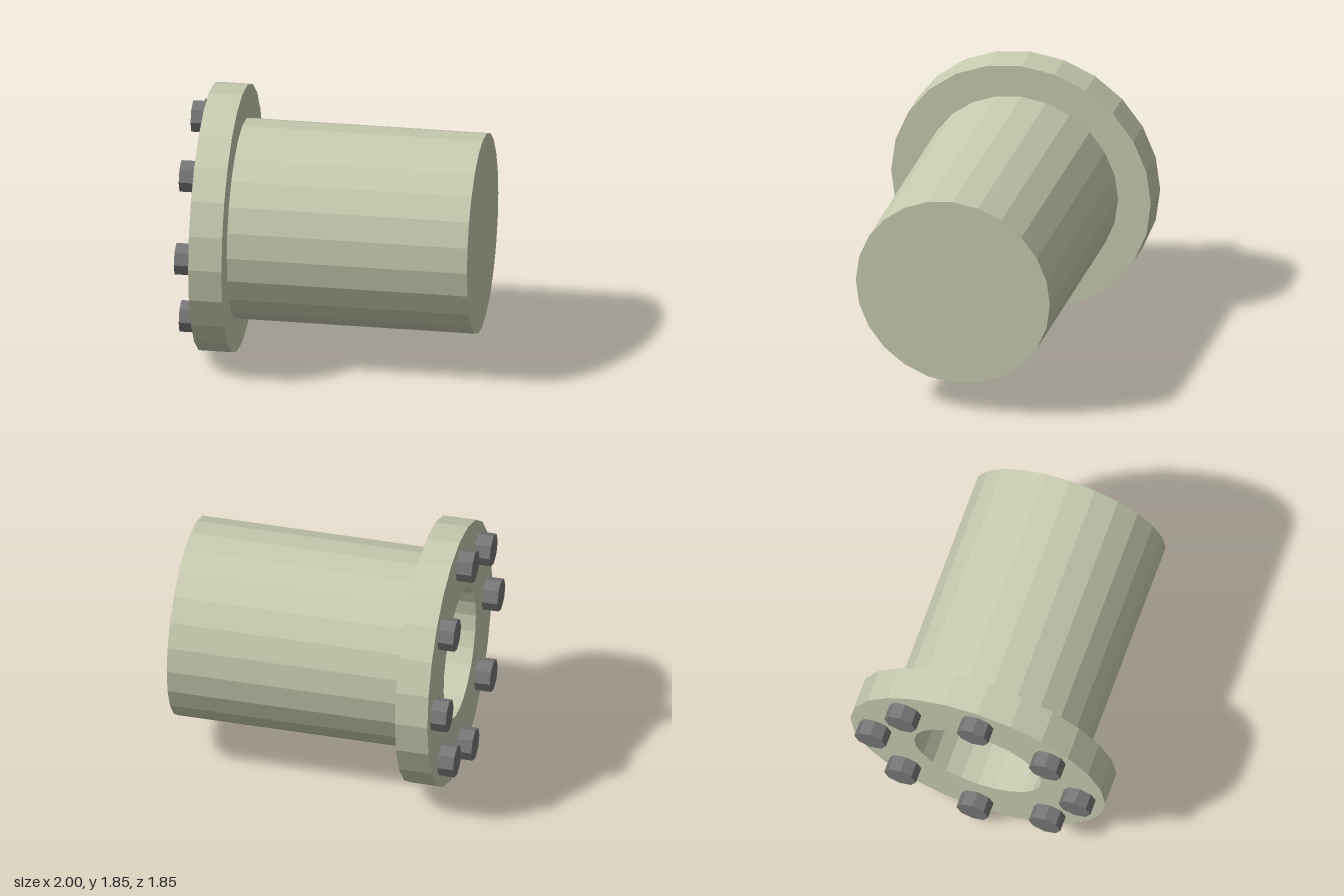
import * as THREE from 'three';

const R = 0.923; // flange radius, also the height of the axis
const SIDES = 24;

export function createModel() {
  const model = new THREE.Group();
  const paint = new THREE.MeshStandardMaterial({ color: 0xc8ccb0, flatShading: true });
  const steel = new THREE.MeshStandardMaterial({ color: 0x777777, flatShading: true });

  // Revolves [radius, x] pairs around the horizontal axis
  const revolve = (name, profile) => {
    const points = profile.map(([r, x]) => new THREE.Vector2(r, x));
    const geometry = new THREE.LatheGeometry(points, SIDES).rotateZ(-Math.PI / 2);
    const mesh = new THREE.Mesh(geometry, paint);
    mesh.name = name;
    mesh.position.y = R;
    model.add(mesh);
  };

  // Flange ring, outer pipe with closed end, and blind bore
  revolve('flange', [[0.46, -0.66], [0.46, -0.89], [R, -0.89], [R, -0.66], [0.69, -0.66]]);
  revolve('pipe', [[0.69, -0.66], [0.69, 1], [0, 1]]);
  revolve('bore', [[0, 0.77], [0.46, 0.77], [0.46, -0.66]]);

  // Eight octagonal bolt heads around the flange face
  const bolts = new THREE.Group();
  bolts.name = 'bolts';
  const head = new THREE.CylinderGeometry(0.115, 0.115, 0.11, 8).rotateZ(Math.PI / 2);
  for (let i = 0; i < 8; i++) {
    const a = (i * Math.PI) / 4;
    const bolt = new THREE.Mesh(head, steel);
    bolt.name = 'bolt';
    bolt.position.set(-0.945, R + 0.74 * Math.cos(a), 0.74 * Math.sin(a));
    bolts.add(bolt);
  }
  model.add(bolts);
  return model;
}
